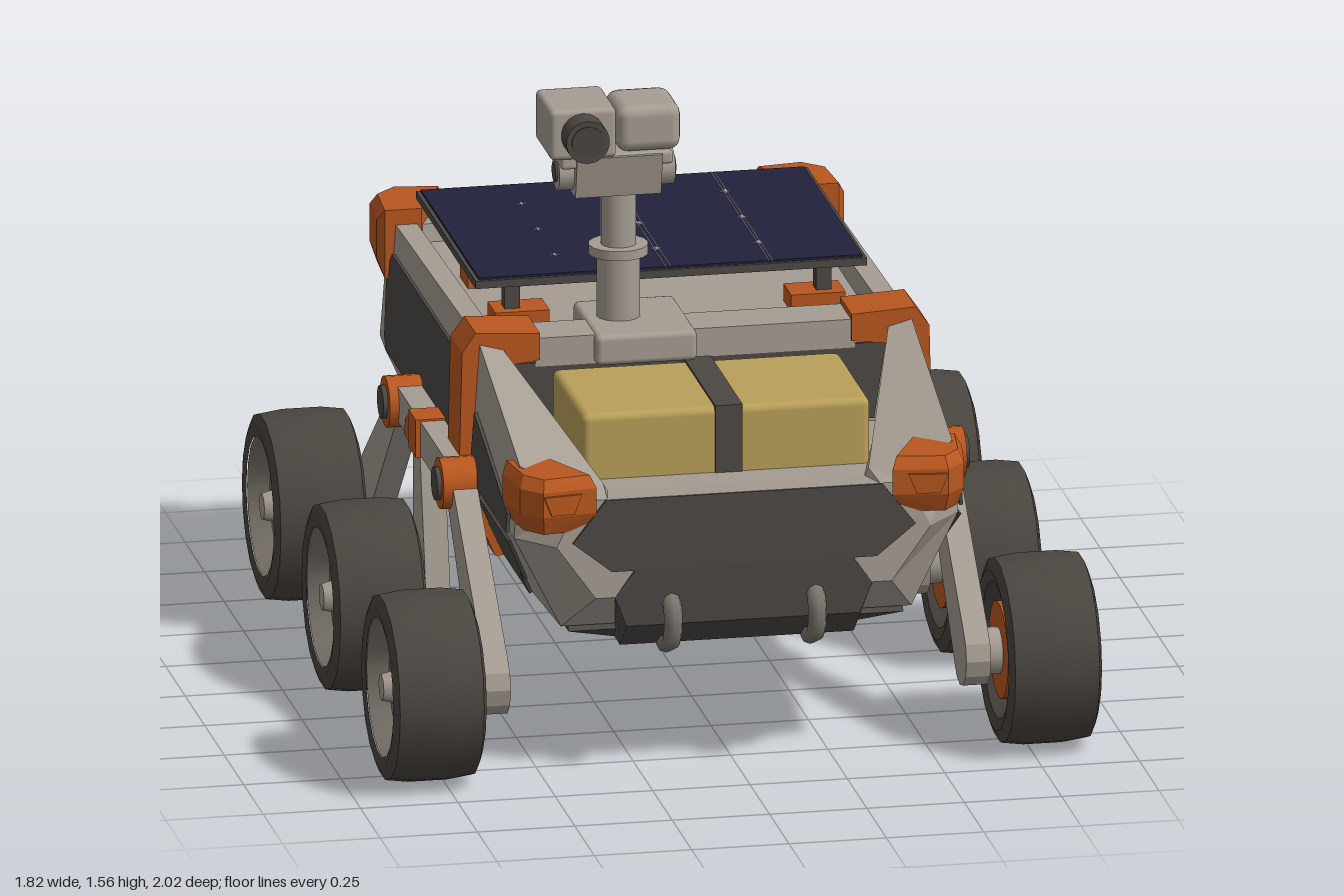
import * as THREE from 'three';
import { toCreasedNormals } from 'three/addons/utils/BufferGeometryUtils.js';
import { ConvexGeometry } from 'three/addons/geometries/ConvexGeometry.js';
import { RoundedBoxGeometry } from 'three/addons/geometries/RoundedBoxGeometry.js';

const mat = (name, color) => Object.assign(new THREE.MeshStandardMaterial({ color }), { name });
const V = (x, y, z) => new THREE.Vector3(x, y, z);

export function createModel() {
  const root = new THREE.Group();
  root.name = 'rover';
  const hullGrey = mat('hullGrey', 0xa69d93), dark = mat('darkPanel', 0x4c4944),
    tyreMat = mat('tyre', 0x4a453f), rimGrey = mat('rimGrey', 0x7c766d),
    orange = mat('orange', 0xb9571f), gold = mat('gold', 0xb9a05a),
    navy = mat('solarNavy', 0x21213c), lineMat = mat('solarLine', 0x9c9ca6);

  const add = (name, geo, m, parent = root) => {
    const mesh = new THREE.Mesh(geo, m);
    mesh.name = name;
    parent.add(mesh);
    return mesh;
  };
  // Axis-aligned box from its minimum and maximum corners
  const box = (name, m, x0, x1, y0, y1, z0, z1, r = 0) => {
    const s = [x1 - x0, y1 - y0, z1 - z0];
    const g = r ? new RoundedBoxGeometry(...s, 2, r) : new THREE.BoxGeometry(...s);
    return add(name, g.translate((x0 + x1) / 2, (y0 + y1) / 2, (z0 + z1) / 2), m);
  };
  const convex = (name, m, pts) => add(name, new ConvexGeometry(pts), m);
  // Convex section [x, y] carried from z0 to z1
  const prism = (name, m, section, z0, z1, s = 1) =>
    convex(name, m, section.flatMap(([x, y]) => [V(s * x, y, z0), V(s * x, y, z1)]));
  // Thin raised plate on a flat convex outline, facing "out"
  const plate = (name, m, pts, out, t = 0.008) => {
    const n = V(0, 0, 0).crossVectors(pts[1].clone().sub(pts[0]), pts[2].clone().sub(pts[0])).normalize();
    if (n.dot(out) < 0) n.negate();
    return convex(name, m, pts.flatMap(p => [p.clone().addScaledVector(n, -0.001), p.clone().addScaledVector(n, t)]));
  };
  const cylX = (name, m, r, x0, x1, y, z, seg = 16) =>
    add(name, new THREE.CylinderGeometry(r, r, Math.abs(x1 - x0), seg).rotateZ(Math.PI / 2).translate((x0 + x1) / 2, y, z), m);

  // Hull: half sections of bottom, widest line, outer rim, inner rim, floor
  const sections = [
    [-0.96, [0.40, 0.48], [0.50, 0.64], [0.48, 0.95], [0.42, 0.95], [0.42, 0.95]],
    [-0.90, [0.45, 0.40], [0.57, 0.64], [0.545, 0.965], [0.50, 0.965], [0.50, 0.965]],
    [-0.78, [0.46, 0.38], [0.58, 0.64], [0.555, 0.97], [0.50, 0.97], [0.50, 0.965]],
    [-0.77, [0.46, 0.38], [0.58, 0.64], [0.555, 0.97], [0.50, 0.97], [0.50, 0.92]],
    [0.28, [0.46, 0.38], [0.58, 0.64], [0.555, 0.995], [0.50, 0.995], [0.50, 0.92]],
    [0.285, [0.46, 0.38], [0.58, 0.64], [0.555, 0.995], [0.50, 0.98], [0.47, 0.72]],
    [0.82, [0.45, 0.40], [0.57, 0.64], [0.555, 0.83], [0.34, 0.77], [0.33, 0.75]],
    [0.92, [0.38, 0.50], [0.48, 0.64], [0.42, 0.76], [0.35, 0.76], [0.35, 0.76]],
  ];
  const pos = [], idx = [], N = 10;
  for (const [z, ...half] of sections) {
    for (const [x, y] of half) pos.push(x, y, z);
    for (const [x, y] of [...half].reverse()) pos.push(-x, y, z);
  }
  for (let k = 0; k < sections.length - 1; k++)
    for (let i = 0; i < N; i++) {
      const a = k * N + i, b = k * N + (i + 1) % N;
      idx.push(a, b, a + N, b, b + N, a + N);
    }
  const last = (sections.length - 1) * N;
  for (let i = 1; i < N - 1; i++) idx.push(0, i + 1, i, last, last + i, last + i + 1);
  let hull = new THREE.BufferGeometry();
  hull.setAttribute('position', new THREE.Float32BufferAttribute(pos, 3));
  hull.setIndex(idx);
  hull = hull.toNonIndexed();
  hull.computeVertexNormals();
  add('hull', hull, hullGrey);

  // Belly tray
  convex('bellyTray', dark, [-1, 1].flatMap(a => [-1, 1].flatMap(b =>
    [V(a * 0.30, 0.34, b * 0.74), V(a * 0.43, 0.385, b * 0.82), V(a * 0.43, 0.41, b * 0.80)])));

  // End panels, bumpers and tow hooks, front and back
  for (const [f, end, top, topX] of [[1, 0.92, 0.76, 0.355], [-1, 0.96, 0.87, 0.38]]) {
    const tag = f > 0 ? 'front' : 'rear', z = f * end;
    plate(tag + 'Panel', dark, [[topX, top], [0.44, 0.65], [0.34, 0.57], [-0.34, 0.57], [-0.44, 0.65], [-topX, top]]
      .map(([x, y]) => V(x, y, z)), V(0, 0, f));
    convex(tag + 'Bumper', dark, [-1, 1].flatMap(a => [
      V(a * 0.28, 0.57, z + f * 0.005), V(a * 0.33, 0.50, z), V(a * 0.30, 0.42, z - f * 0.005),
      V(a * 0.30, 0.345, z - f * 0.09), V(a * 0.30, 0.345, z - f * 0.3), V(a * 0.30, 0.57, z - f * 0.2)]));
    for (const s of [-1, 1]) {
      const path = new THREE.CatmullRomCurve3([V(s * 0.185, 0.49, z - f * 0.03), V(s * 0.185, 0.465, z + f * 0.015),
        V(s * 0.185, 0.39, z + f * 0.01), V(s * 0.185, 0.345, z - f * 0.08)]);
      add(tag + 'TowHook', new THREE.TubeGeometry(path, 10, 0.024, 8), rimGrey);
    }
  }

  // Everything carried on both flanks
  const upX = y => 0.58 - (y - 0.64) * 0.0735, lowX = y => 0.46 + (y - 0.38) * 0.4615;
  const wheelProfile = [[0.15, -0.07], [0.175, -0.112], [0.205, -0.12], [0.236, -0.108], [0.244, -0.05],
    [0.244, 0.05], [0.236, 0.108], [0.205, 0.12], [0.178, 0.114]];
  const rimProfile = [[0, -0.075], [0.155, -0.075], [0.18, -0.06], [0.178, 0.112], [0.15, 0.06], [0.075, 0.035], [0.06, 0.075], [0.035, 0.08], [0.03, 0.1], [0, 0.1]];
  const lathe = prof => toCreasedNormals(new THREE.LatheGeometry(
    prof.map(([r, a]) => new THREE.Vector2(r, a)), 18).rotateZ(-Math.PI / 2), 0.6);
  const tyreGeo = lathe(wheelProfile), rimGeo = lathe(rimProfile);

  for (const s of [-1, 1]) {
    const side = s > 0 ? 'left' : 'right', out = V(s, 0, 0);
    const flank = (name, pts, fx) => plate(side + name, dark, pts.map(([z, y]) => V(s * fx(y), y, z)), out);
    flank('RearSidePanel', [[0.07, 0.66], [0.07, 0.87], [0.04, 0.90], [-0.75, 0.90], [-0.80, 0.84], [-0.77, 0.68], [-0.74, 0.65]], upX);
    flank('FrontSidePanel', [[0.33, 0.65], [0.33, 0.82], [0.60, 0.745], [0.80, 0.70], [0.80, 0.65]], upX);
    flank('FrontLowerPanel', [[0.33, 0.63], [0.80, 0.63], [0.72, 0.50], [0.33, 0.50]], lowX);
    flank('SideSkirt', [[0.62, 0.43], [0.66, 0.52], [-0.74, 0.52], [-0.70, 0.43]], lowX);

    // Roll hoop wrapping the flank and the deck edge
    prism(side + 'HoopLower', orange, [[0.46, 0.43], [0.515, 0.43], [0.608, 0.64], [0.56, 0.64]], 0.155, 0.305, s);
    prism(side + 'HoopUpper', orange, [[0.54, 0.64], [0.608, 0.64], [0.60, 0.97], [0.565, 1.02], [0.52, 1.01]], 0.155, 0.305, s);
    prism(side + 'HoopTop', orange, [[0.40, 0.94], [0.40, 1.01], [0.565, 1.02], [0.597, 0.97], [0.56, 0.92]], 0.155, 0.305, s);

    // Corner guards with raised faces
    const guard = (name, outline, y0, y1) => convex(side + name, orange, outline.flatMap(([x, z]) => {
      const cx = 0.48 + (x - 0.48) * 0.86, cz = z - Math.sign(z) * 0.02;
      return [V(s * cx, y0, cz), V(s * x, y0 + 0.05, z), V(s * x, y1 - 0.03, z), V(s * cx, y1, cz)];
    }));
    guard('FrontGuard', [[0.38, 0.93], [0.52, 0.95], [0.57, 0.90], [0.59, 0.77], [0.47, 0.77]], 0.68, 0.825);
    guard('RearGuard', [[0.40, -0.965], [0.53, -0.98], [0.59, -0.93], [0.60, -0.79], [0.49, -0.79]], 0.83, 1.01);
    plate(side + 'FrontGuardFace', orange, [[0.42, 0.785], [0.52, 0.785], [0.50, 0.735], [0.44, 0.735]]
      .map(([x, y]) => V(s * x, y, 0.93 + (x - 0.38) / 7)), V(0, 0, 1));
    plate(side + 'RearGuardFace', orange, [[0.43, 0.965], [0.52, 0.965], [0.50, 0.89], [0.45, 0.89]]
      .map(([x, y]) => V(s * x, y, -0.965 - (x - 0.40) / 8.7)), V(0, 0, -1));

    // Rocker suspension: links are hulls of two end discs
    const link = (name, z1, y1, r1, z2, y2, r2, x0 = 0.585, x1 = 0.648) => {
      const pts = [];
      for (const [z, y, r] of [[z1, y1, r1], [z2, y2, r2]])
        for (let i = 0; i < 12; i++) {
          const a = i * Math.PI / 6;
          for (const x of [x0, x1]) pts.push(V(s * x, y + r * Math.sin(a), z + r * Math.cos(a)));
        }
      convex(side + name, hullGrey, pts);
    };
    link('RockerBeam', 0.37, 0.655, 0.045, -0.32, 0.655, 0.045);
    link('FrontLeg', 0.37, 0.645, 0.045, 0.77, 0.25, 0.085);
    link('RearLeg', -0.32, 0.645, 0.045, -0.77, 0.25, 0.085);
    link('MiddleLeg', -0.045, 0.655, 0.04, 0, 0.25, 0.085);
    for (const z of [0.365, -0.325]) {
      cylX(side + 'PivotRing', orange, 0.066, s * 0.58, s * 0.672, 0.65, z);
      cylX(side + 'PivotCap', dark, 0.043, s * 0.66, s * 0.684, 0.65, z);
    }
    prism(side + 'RockerClamp', orange, [[0.56, 0.605], [0.66, 0.605], [0.66, 0.705], [0.56, 0.705]], -0.085, 0.01, s);
    convex(side + 'ClampTab', orange, [0.58, 0.655].flatMap(x =>
      [V(s * x, 0.70, -0.08), V(s * x, 0.61, -0.08), V(s * x, 0.615, -0.165), V(s * x, 0.66, -0.15)]));

    // Wheels
    for (const z of [0.765, 0, -0.765]) {
      const wheel = new THREE.Group();
      wheel.name = side + 'Wheel';
      wheel.position.set(s * 0.79, 0.25, z);
      if (s < 0) wheel.rotation.y = Math.PI;
      add('tyre', tyreGeo, tyreMat, wheel);
      add('rim', rimGeo, rimGrey, wheel);
      add('hubCap', new THREE.CylinderGeometry(0.035, 0.048, 0.05, 8).rotateZ(-Math.PI / 2).translate(0.085, 0, 0), hullGrey, wheel);
      root.add(wheel);
      cylX(side + 'MotorRing', orange, 0.125, s * 0.685, s * 0.72, 0.25, z, 18);
      cylX(side + 'Axle', hullGrey, 0.06, s * 0.63, s * 0.74, 0.25, z);
    }
    // Solar panel feet on the deck
    for (const z of [-0.07, -0.42]) box(side + 'PanelFoot', orange, s * 0.38 - 0.07, s * 0.38 + 0.07, 0.915, 0.965, z - 0.05, z + 0.05);
    for (const z of [-0.07, -0.68]) box(side + 'PanelPost', dark, s * 0.40 - 0.02, s * 0.40 + 0.02, 0.92, 1.045, z - 0.02, z + 0.02);
  }

  // Cross bar and cargo bay
  prism('crossBar', hullGrey, [[-0.41, 0.92], [0.41, 0.92], [0.41, 0.995], [-0.41, 0.995]], 0.165, 0.298);
  plate('cargoBulkhead', dark, [V(-0.46, 0.73, 0.288), V(0.46, 0.73, 0.288), V(0.49, 0.93, 0.288), V(-0.49, 0.93, 0.288)], V(0, 0, 1));
  box('cargoBox', gold, -0.37, 0.37, 0.70, 0.915, 0.30, 0.70, 0.02);
  box('cargoStrap', dark, -0.03, 0.04, 0.70, 0.921, 0.296, 0.706);

  // Solar panel
  box('solarFrame', dark, -0.505, 0.5, 1.04, 1.06, -0.76, 0.005);
  box('solarCells', navy, -0.495, 0.49, 1.059, 1.066, -0.75, -0.005);
  for (const x of [-0.015, -0.003, 0.25, 0.258]) box('cellLine', lineMat, x - 0.0015, x + 0.0015, 1.065, 1.0675, -0.75, -0.005);
  for (const x of [-0.27, -0.009, 0.254])
    for (const z of [-0.585, -0.37, -0.155]) {
      box('cellMark', lineMat, x - 0.013, x + 0.013, 1.065, 1.068, z - 0.003, z + 0.003);
      box('cellMark', lineMat, x - 0.003, x + 0.003, 1.065, 1.068, z - 0.013, z + 0.013);
    }

  // Camera mast
  const mx = -0.17, mz = 0.16;
  const mastPart = (name, r, y0, y1, m = hullGrey) =>
    add(name, new THREE.CylinderGeometry(r, r, y1 - y0, 16).translate(mx, (y0 + y1) / 2, mz), m);
  box('mastBase', hullGrey, -0.26, 0, 0.92, 1.0, 0.02, 0.33, 0.015);
  mastPart('mastLower', 0.056, 0.99, 1.17);
  mastPart('mastCollar', 0.076, 1.165, 1.19);
  mastPart('mastUpper', 0.045, 1.18, 1.36);
  convex('headYoke', hullGrey, [-0.29, -0.07].flatMap(x =>
    [V(x, 1.33, 0.10), V(x, 1.33, 0.21), V(x, 1.44, 0.235), V(x, 1.44, 0.07)]));
  box('yokeCrossbar', hullGrey, -0.33, -0.04, 1.41, 1.445, 0.09, 0.225, 0.01);
  for (const [x0, x1] of [[-0.328, -0.28], [-0.08, -0.03]]) cylX('tiltJoint', hullGrey, 0.048, x0, x1, 1.385, 0.15);
  for (const [x0, x1] of [[-0.334, -0.326], [-0.032, -0.024]]) cylX('tiltBolt', dark, 0.026, x0, x1, 1.385, 0.15);
  box('cameraMain', hullGrey, -0.36, -0.19, 1.44, 1.572, 0.04, 0.24, 0.014);
  box('cameraSecond', hullGrey, -0.185, -0.02, 1.445, 1.567, 0.05, 0.23, 0.03);
  const lens = (name, r, z0, z1, m) =>
    add(name, new THREE.CylinderGeometry(r, r, z1 - z0, 18).rotateX(Math.PI / 2).translate(-0.277, 1.507, (z0 + z1) / 2), m);
  lens('lensBarrel', 0.056, 0.23, 0.308, dark);
  lens('lensGlass', 0.042, 0.30, 0.311, tyreMat);
  return root;
}
